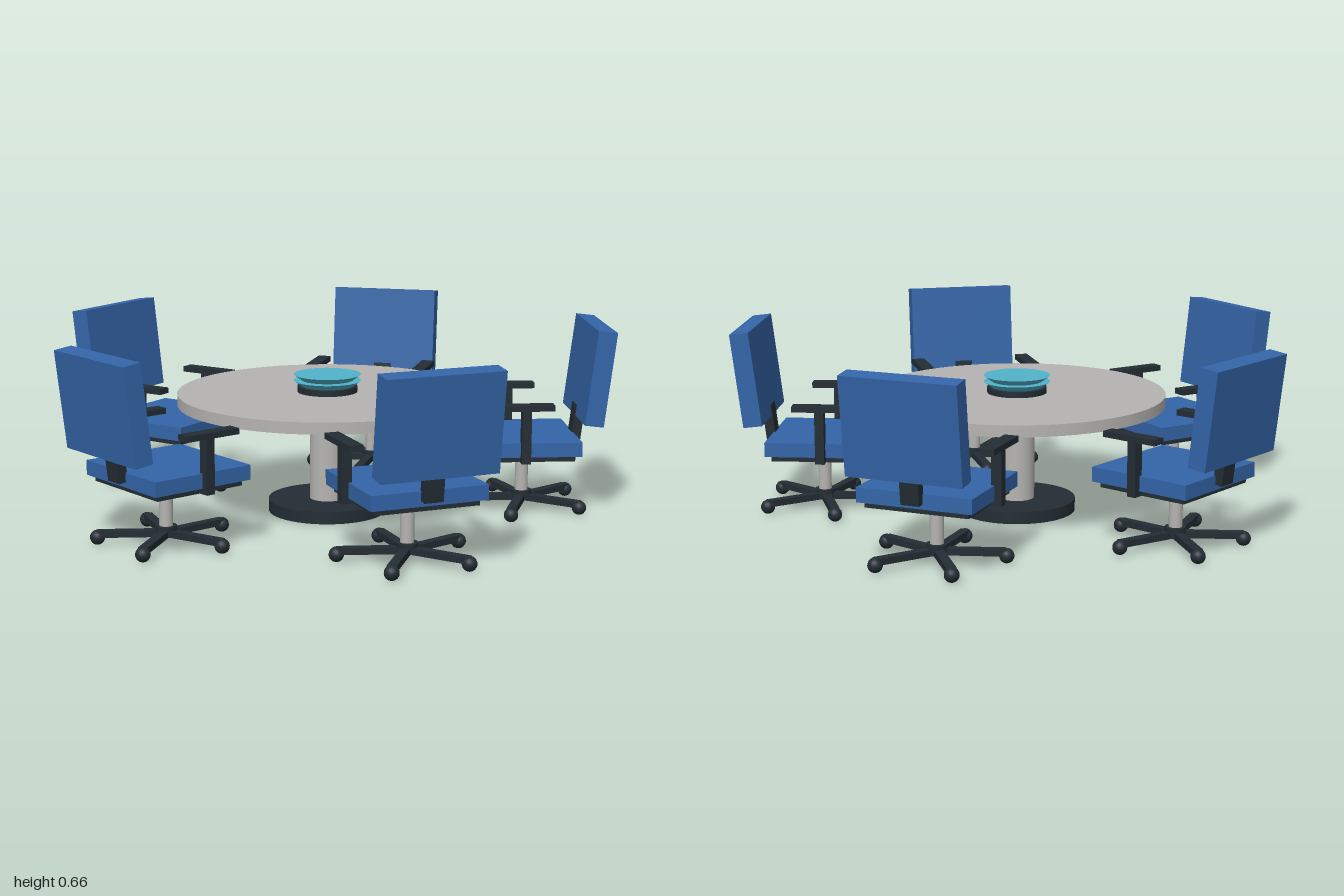
import * as THREE from 'three';

const mat = (name, color) => {
  const m = new THREE.MeshStandardMaterial({ color });
  m.name = name;
  return m;
};

export function createModel() {
  const blue = mat('blue upholstery', 0x3465a8);
  const dark = mat('dark plastic', 0x232d34);
  const grey = mat('light grey', 0xb5b4b1);
  const teal = mat('teal', 0x52b4ca);

  const model = new THREE.Group();
  model.name = 'meetingTable';
  const CENTRE_Z = 0.033;
  const TILT = -0.12;

  function add(parent, name, geometry, material, x, y, z) {
    const mesh = new THREE.Mesh(geometry, material);
    mesh.name = name;
    mesh.position.set(x, y, z);
    parent.add(mesh);
    return mesh;
  }
  const box = (w, h, d) => new THREE.BoxGeometry(w, h, d);
  const disc = (top, bottom, h, n = 32) => new THREE.CylinderGeometry(top, bottom, h, n);

  // Round table on a single pillar
  const table = new THREE.Group();
  table.name = 'table';
  table.position.z = CENTRE_Z;
  model.add(table);
  add(table, 'tableTop', disc(0.523, 0.523, 0.04, 64), grey, 0, 0.405, 0);
  add(table, 'tablePillar', disc(0.062, 0.062, 0.35), grey, 0, 0.215, 0);
  add(table, 'tableBase', disc(0.207, 0.207, 0.043, 48), dark, 0, 0.0215, 0);

  // Centrepiece: dark foot under two flared teal plates
  add(table, 'centrepieceFoot', disc(0.105, 0.105, 0.02), dark, 0, 0.435, 0);
  for (const y of [0.455, 0.4765]) {
    add(table, 'centrepiecePlate', disc(0.117, 0.09, 0.02), teal, 0, y, 0);
  }

  // Swivel chair, facing the table centre along +z
  function createChair() {
    const chair = new THREE.Group();
    chair.name = 'chair';
    add(chair, 'seat', box(0.4, 0.05, 0.375), blue, 0, 0.248, -0.678);
    add(chair, 'seatPan', box(0.36, 0.022, 0.335), dark, 0, 0.214, -0.678);
    add(chair, 'backrest', box(0.4, 0.33, 0.066), blue, 0, 0.4925, -0.924).rotation.x = TILT;
    add(chair, 'backSupport', box(0.065, 0.13, 0.034), dark, 0, 0.305, -0.881).rotation.x = TILT;

    for (const side of [-1, 1]) {
      add(chair, 'armPost', box(0.036, 0.19, 0.032), dark, side * 0.206, 0.3, -0.668);
      add(chair, 'armPad', box(0.048, 0.02, 0.205), dark, side * 0.206, 0.4, -0.66);
    }

    // Five-legged star base, one leg pointing at the table
    const base = new THREE.Group();
    base.name = 'starBase';
    base.position.z = -0.69;
    chair.add(base);
    add(base, 'gasLift', disc(0.023, 0.023, 0.16, 20), grey, 0, 0.125, 0);
    add(base, 'hub', disc(0.036, 0.036, 0.034, 20), dark, 0, 0.045, 0);
    for (let i = 0; i < 5; i++) {
      const leg = new THREE.Group();
      leg.name = 'starLeg';
      leg.rotation.y = (i * Math.PI * 2) / 5;
      base.add(leg);
      add(leg, 'legBar', box(0.032, 0.022, 0.226), dark, 0, 0.037, 0.113);
      add(leg, 'caster', new THREE.SphereGeometry(0.025, 16, 12), dark, 0, 0.025, 0.226);
    }
    return chair;
  }

  // Five chairs evenly around the table
  for (let i = 0; i < 5; i++) {
    const chair = createChair();
    chair.position.z = CENTRE_Z;
    chair.rotation.y = (i * Math.PI * 2) / 5;
    model.add(chair);
  }
  return model;
}
